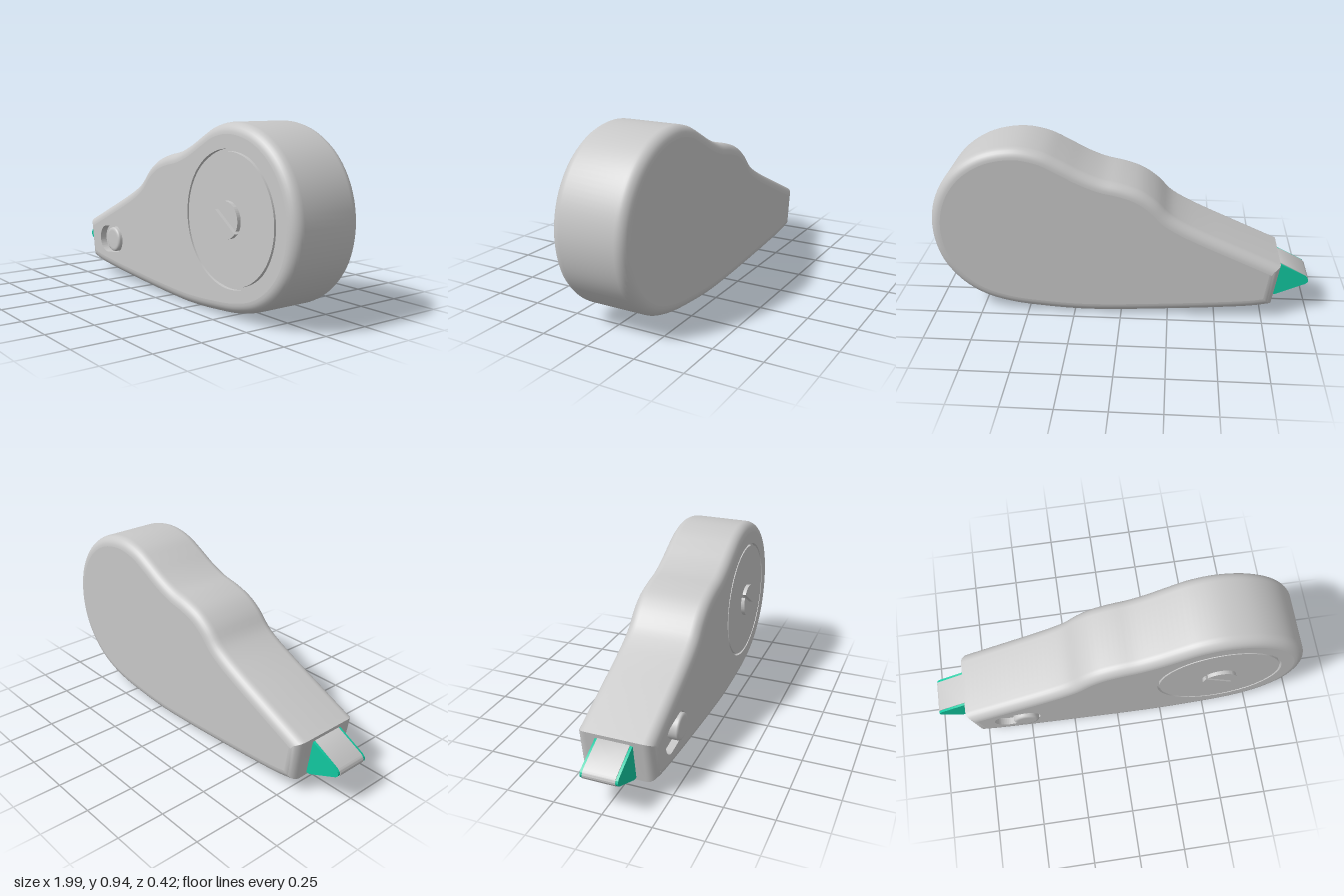
import * as THREE from 'three';
import { toCreasedNormals } from 'three/addons/utils/BufferGeometryUtils.js';

const FRONT = 0.19, BACK = -0.21, MID = -0.01, ROUND = 0.055;
const REEL = [0.54, 0.48];
const v2 = (p) => new THREE.Vector2(p[0], p[1]);

// Inward offset of a counter-clockwise outline, mitred at the corners
function inset(points, d) {
  const n = points.length;
  return points.map((p, i) => {
    const a = p.clone().sub(points[(i + n - 1) % n]).normalize();
    const b = points[(i + 1) % n].clone().sub(p).normalize();
    const na = new THREE.Vector2(-a.y, a.x), nb = new THREE.Vector2(-b.y, b.x);
    const m = na.clone().add(nb).normalize();
    return p.clone().addScaledVector(m, d / Math.max(0.4, m.dot(na)));
  });
}

// Skin through stacked outlines, ordered back to front
function loft(loops) {
  const pos = [], index = [], n = loops[0].points.length;
  loops.forEach((l) => l.points.forEach((p) => pos.push(p.x, p.y, l.z)));
  for (let i = 0; i < loops.length - 1; i++) {
    for (let j = 0; j < n; j++) {
      const k = (j + 1) % n, a = i * n + j, b = i * n + k;
      index.push(a, b, b + n, a, b + n, a + n);
    }
  }
  const g = new THREE.BufferGeometry();
  g.setAttribute('position', new THREE.Float32BufferAttribute(pos, 3));
  g.setIndex(index);
  return toCreasedNormals(g, 0.6);
}

// Flat slab from a shape, between two z planes
function slab(shape, z0, z1) {
  const g = new THREE.ExtrudeGeometry(shape, { depth: z1 - z0, bevelEnabled: false, curveSegments: 48 });
  return toCreasedNormals(g.translate(0, 0, z0), 0.5);
}

// Stadium path around two centres
function stadium(PathClass, a, b, r) {
  const t = Math.atan2(b[1] - a[1], b[0] - a[0]);
  const s = new PathClass();
  s.absarc(b[0], b[1], r, t - Math.PI / 2, t + Math.PI / 2, false);
  s.absarc(a[0], a[1], r, t + Math.PI / 2, t + Math.PI * 1.5, false);
  s.closePath();
  return s;
}

// Wedge with a rounded nose, grown by e
function wedge(e) {
  const s = new THREE.Shape();
  s.moveTo(-0.75, 0.09 - e);
  s.lineTo(-0.825, 0.095 - e);
  s.lineTo(-0.98, 0.165 - e);
  s.quadraticCurveTo(-1.01 - e, 0.185, -0.98, 0.21 + e);
  s.lineTo(-0.835, 0.284 + e);
  s.lineTo(-0.75, 0.284 + e);
  s.closePath();
  return s;
}

export function createModel() {
  const model = new THREE.Group();
  model.name = 'correctionTape';
  const grey = new THREE.MeshStandardMaterial({ color: 0xc8c8c8 });
  grey.name = 'grey plastic';
  const green = new THREE.MeshStandardMaterial({ color: 0x12c8a0 });
  green.name = 'green plastic';
  const add = (name, geometry, material = grey, parent = model) => {
    const m = new THREE.Mesh(geometry, material);
    m.name = name;
    parent.add(m);
    return m;
  };

  // Body outline: along the belly, round the reel, over the hump to the nozzle
  const outline = new THREE.CatmullRomCurve3([
    [-0.8, 0.08], [-0.7, 0.06], [-0.5, 0.04], [-0.2, 0.018], [0, 0.006], [0.2, 0], [0.4, 0.01],
    [0.6, 0.034], [0.75, 0.082], [0.87, 0.168], [0.96, 0.3], [0.995, 0.48], [0.96, 0.655],
    [0.862, 0.802], [0.714, 0.9], [0.54, 0.935], [0.4, 0.912], [0.3, 0.865], [0.2, 0.812],
    [0.1, 0.772], [0, 0.75], [-0.1, 0.715], [-0.18, 0.66], [-0.25, 0.588], [-0.32, 0.543],
    [-0.42, 0.493], [-0.6, 0.412], [-0.835, 0.308],
  ].map(([x, y]) => new THREE.Vector3(x, y, 0))).getSpacedPoints(150).map((p) => new THREE.Vector2(p.x, p.y));

  // Shell with rounded front and back rims
  const back = [], front = [];
  for (let i = 0; i <= 7; i++) {
    const t = (i / 7) * Math.PI / 2;
    const points = inset(outline, ROUND * (1 - Math.sin(t)));
    const rise = ROUND * (1 - Math.cos(t));
    back.push({ points, z: BACK + rise });
    front.unshift({ points, z: FRONT - rise });
  }
  add('bodyShell', loft([...back, ...front]));

  // Face plates; the front one is cut for the reel cap and the slider
  const face = inset(outline, ROUND);
  add('backPlate', slab(new THREE.Shape(face), BACK, BACK + 0.01));
  const plate = new THREE.Shape(face);
  const slotA = [-0.612, 0.217], slotB = [-0.513, 0.23];
  plate.holes.push(new THREE.Path().absarc(...REEL, 0.332, 0, Math.PI * 2, true));
  plate.holes.push(stadium(THREE.Path, slotA, slotB, 0.077));
  add('frontPlate', slab(plate, FRONT - 0.04, FRONT));
  add('sliderSlotFloor', slab(stadium(THREE.Shape, slotA, slotB, 0.085), FRONT - 0.05, FRONT - 0.038));

  // Reel cap set in a narrow groove
  const grooveFloor = new THREE.RingGeometry(0.3, 0.34, 72);
  add('reelGroove', grooveFloor).position.set(...REEL, FRONT - 0.02);
  const cap = new THREE.Shape().absarc(...REEL, 0.32, 0, Math.PI * 2, false);
  add('reelCap', slab(cap, FRONT - 0.04, FRONT));

  // Screw: two half heads either side of a driver slot
  const screw = new THREE.Group();
  screw.name = 'reelScrew';
  screw.position.set(...REEL, 0);
  screw.rotation.z = -0.6;
  model.add(screw);
  const gap = Math.asin(0.009 / 0.09);
  for (const start of [0, Math.PI]) {
    const half = new THREE.Shape().absarc(0, 0, 0.09, start + gap, start + Math.PI - gap, false);
    half.closePath();
    add('screwHalf', slab(half, FRONT, FRONT + 0.02), grey, screw);
  }

  // Slider button with a softened edge
  const knob = new THREE.LatheGeometry([
    [0.07, 0], [0.07, 0.05], [0.067, 0.057], [0.06, 0.061], [0.05, 0.062], [0, 0.062],
  ].map(v2), 40);
  const button = add('sliderButton', knob.rotateX(Math.PI / 2));
  button.position.set(slotB[0], slotB[1], FRONT - 0.042);

  // Tip: tape band between two green cheeks
  add('tapeBand', slab(wedge(0.004), MID - 0.083, MID + 0.083));
  for (const side of [-1, 1]) {
    const z = MID + side * 0.089;
    add(side > 0 ? 'tipCheekFront' : 'tipCheekBack', slab(wedge(0), z - 0.007, z + 0.007), green);
  }
  return model;
}
